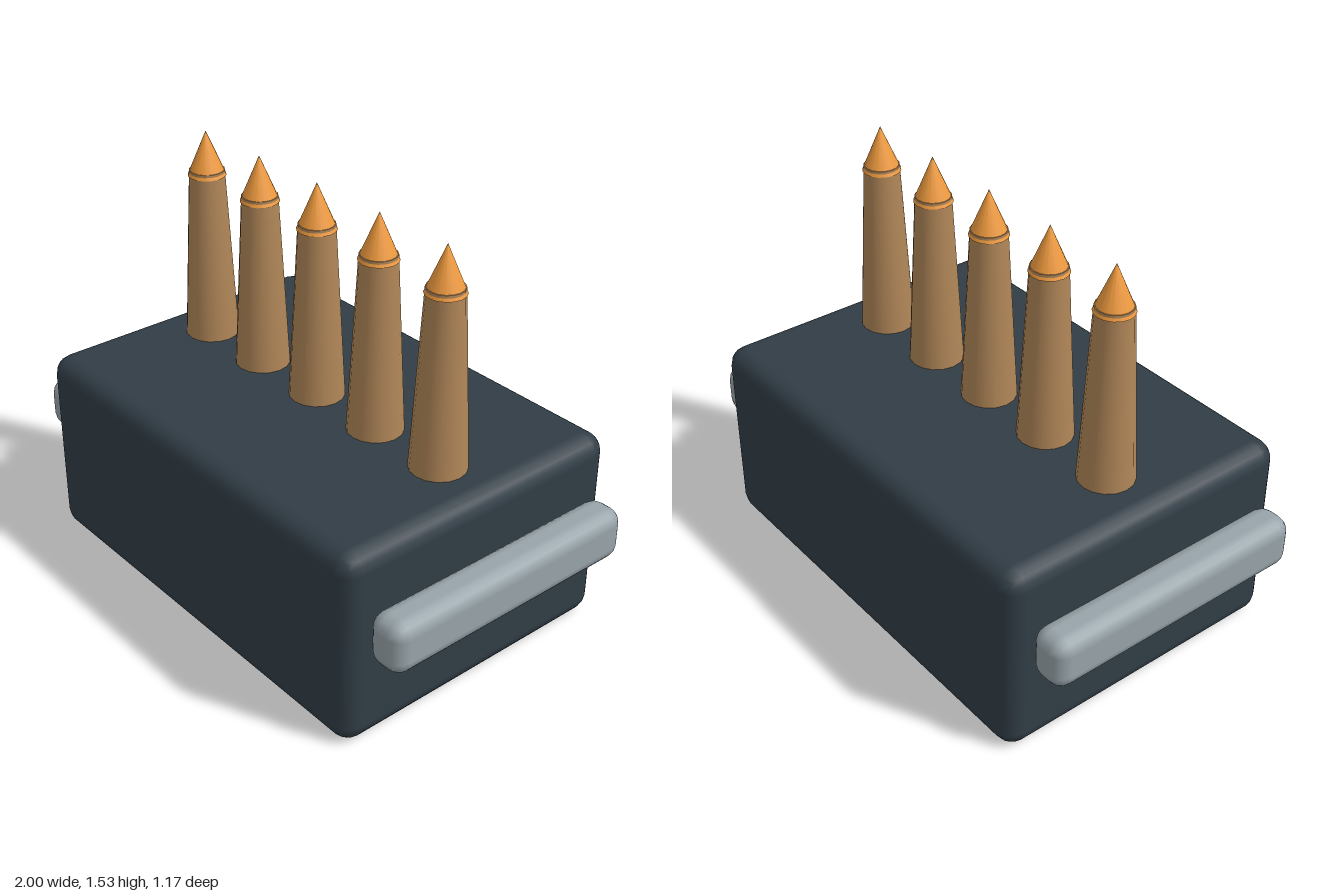
import * as THREE from 'three';
import { RoundedBoxGeometry } from 'three/addons/geometries/RoundedBoxGeometry.js';

const mat = (color) => new THREE.MeshStandardMaterial({ color });

export function createModel() {
  const model = new THREE.Group();
  const dark = mat(0x313d46), grey = mat(0x98a4aa), brown = mat(0xb08658), orange = mat(0xee9a3e);

  const add = (parent, name, geometry, material, x, y, z = 0) => {
    const mesh = new THREE.Mesh(geometry, material);
    mesh.name = name;
    mesh.position.set(x, y, z);
    parent.add(mesh);
  };

  // Rounded base block
  add(model, 'base', new RoundedBoxGeometry(1.69, 0.735, 1.17, 2, 0.07), dark, 0, 0.3675);

  // Side bars, one along each end
  const bar = new RoundedBoxGeometry(0.147, 0.194, 1.03, 2, 0.055);
  add(model, 'leftBar', bar, grey, 0.9265, 0.443);
  add(model, 'rightBar', bar, grey, -0.9265, 0.443);

  // Row of tapered spikes; each tip's rim sits just below the shaft's top
  const shaft = new THREE.CylinderGeometry(0.065, 0.1, 0.65, 16);
  const tip = new THREE.ConeGeometry(0.07, 0.165, 16);
  for (let i = 0; i < 5; i++) {
    const spike = new THREE.Group();
    spike.name = `spike${i + 1}`;
    spike.position.x = (i - 2) * 0.3085;
    add(spike, 'shaft', shaft, brown, 0, 1.06);
    add(spike, 'tip', tip, orange, 0, 1.4475);
    model.add(spike);
  }
  return model;
}
